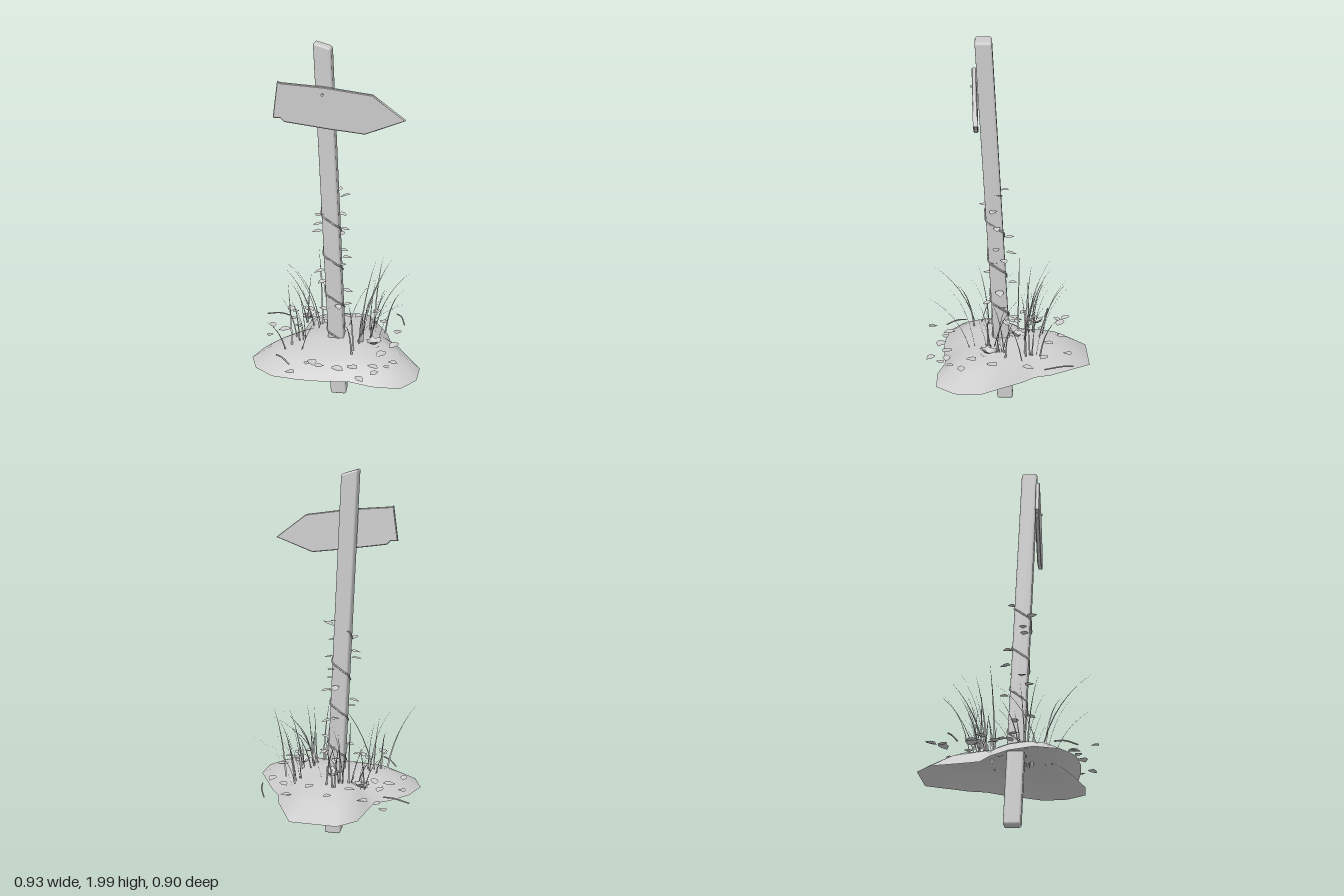
import * as THREE from 'three';
import { RoundedBoxGeometry } from 'three/addons/geometries/RoundedBoxGeometry.js';

const grey = new THREE.MeshStandardMaterial({ color: 0xcccccc, side: THREE.DoubleSide });
grey.name = 'plain grey';

let seed = 7;
const rand = (a = 0, b = 1) => {
  seed = (seed * 16807) % 2147483647;
  return a + (b - a) * seed / 2147483647;
};

// centre line of the leaning post
const postX = y => 0.002 - 0.033 * y;
const postZ = y => 0.005 + 0.055 * y;

function add(parent, name, geometry) {
  const mesh = new THREE.Mesh(geometry, grey);
  mesh.name = name;
  parent.add(mesh);
  return mesh;
}

function group(parent, name) {
  const g = new THREE.Group();
  g.name = name;
  parent.add(g);
  return g;
}

function surface(points, index) {
  const g = new THREE.BufferGeometry();
  g.setAttribute('position', new THREE.Float32BufferAttribute(points, 3));
  g.setIndex(index);
  g.computeVertexNormals();
  return g;
}

function makePost() {
  const g = new RoundedBoxGeometry(0.088, 1.99, 0.088, 2, 0.012);
  const p = g.attributes.position;
  for (let i = 0; i < p.count; i++) {
    const x = p.getX(i), y = p.getY(i) + 1.0;
    const top = y > 1 ? -0.3 * (x + 0.028) : 0;
    p.setXYZ(i, x + postX(y), y + top, p.getZ(i) + postZ(y));
  }
  return g;
}

// arrow board with worn edges
function makeBoard() {
  const s = new THREE.Shape([
    [-0.305, 1.63], [-0.28, 1.805], [-0.27, 1.8], [-0.05, 1.783], [0.185, 1.75],
    [0.345, 1.63], [0.15, 1.558], [-0.02, 1.578], [-0.25, 1.61], [-0.27, 1.63]
  ].map(([x, y]) => new THREE.Vector2(x, y)));
  const g = new THREE.ExtrudeGeometry(s, {
    depth: 0.016, bevelThickness: 0.004, bevelSize: 0.004, bevelSegments: 1
  });
  const p = g.attributes.position;
  for (let i = 0; i < p.count; i++) {
    p.setZ(i, p.getZ(i) + 0.151 - 0.02 * p.getX(i) + 0.03 * (p.getY(i) - 1.7));
  }
  g.computeVertexNormals();
  return g;
}

// hollow mound, lofted from shrinking copies of its outline
function makeMound() {
  const rim = [
    [-0.12, -0.455], [0.13, -0.455], [0.205, -0.32], [0.25, -0.24], [0.275, -0.15],
    [0.33, -0.08], [0.4, 0.04], [0.46, 0.14], [0.45, 0.27], [0.37, 0.37],
    [0.22, 0.37], [0.1, 0.335], [-0.04, 0.35], [-0.17, 0.35], [-0.315, 0.33],
    [-0.42, 0.255], [-0.465, 0.14], [-0.42, 0.02], [-0.33, -0.08], [-0.255, -0.13],
    [-0.24, -0.2], [-0.21, -0.37]
  ];
  const rings = [[1, 0.255], [0.88, 0.288], [0.75, 0.32], [0.6, 0.345], [0.4, 0.36], [0.2, 0.37], [0, 0.373]];
  const n = rim.length, pts = [], idx = [];
  rings.forEach(([s, y], r) => rim.forEach(([x, z], i) => {
    pts.push(x * s, y, z * s);
    if (!r) return;
    const a = (r - 1) * n + i, b = (r - 1) * n + (i + 1) % n;
    idx.push(a, a + n, b, b, a + n, b + n);
  }));
  return surface(pts, idx);
}

// leaf folded along its midrib, growing along +z
const leafShape = surface([
  0, 0, 0, 0.33, 0.1, 0.25, 0.34, 0.1, 0.6, 0, 0.06, 1, 0, 0.02, 0.5,
  -0.34, 0.1, 0.6, -0.33, 0.1, 0.25
], [0, 4, 1, 1, 4, 2, 2, 4, 3, 0, 6, 4, 6, 5, 4, 5, 3, 4]).toNonIndexed();
leafShape.computeVertexNormals();

function leaf(parent, x, y, z, yaw, pitch, size) {
  const m = add(parent, 'leaf', leafShape);
  m.position.set(x, y, z);
  m.rotation.set(pitch, yaw, 0, 'YXZ');
  m.scale.setScalar(size);
}

// tapered, arching ribbon
function blade(parent, x, z, tx, tz, h, width = 0.011) {
  const dx = tx - x, dz = tz - z, len = Math.hypot(dx, dz) || 1;
  const curve = new THREE.QuadraticBezierCurve3(
    new THREE.Vector3(x, 0.34, z),
    new THREE.Vector3(x + dx * 0.25, 0.34 + h * 0.7, z + dz * 0.25),
    new THREE.Vector3(tx, 0.34 + h, tz));
  const pts = [], idx = [], steps = 6;
  for (let i = 0; i <= steps; i++) {
    const t = i / steps, p = curve.getPoint(t), w = width * 0.5 * (1 - t * 0.95);
    const ox = -dz / len * w, oz = dx / len * w;
    pts.push(p.x + ox, p.y, p.z + oz, p.x - ox, p.y, p.z - oz);
    if (i) idx.push(2 * i - 2, 2 * i - 1, 2 * i, 2 * i - 1, 2 * i + 1, 2 * i);
  }
  add(parent, 'grassBlade', surface(pts, idx));
}

export function createModel() {
  const model = new THREE.Group();
  model.name = 'signpost';
  add(model, 'post', makePost());
  add(model, 'arrowBoard', makeBoard());
  const nail = add(model, 'nail', new THREE.CylinderGeometry(0.007, 0.007, 0.012, 8));
  nail.rotation.x = Math.PI / 2;
  nail.position.set(-0.06, 1.75, 0.176);
  add(model, 'mound', makeMound());

  // vine winding up the post
  const vine = group(model, 'vine');
  const vinePoint = t => {
    const y = 0.36 + 0.8 * t, a = 1 + t * Math.PI * 7;
    const r = 0.047 / Math.max(Math.abs(Math.cos(a)), Math.abs(Math.sin(a)));
    return new THREE.Vector3(postX(y) + Math.cos(a) * r, y, postZ(y) + Math.sin(a) * r);
  };
  const path = [];
  for (let i = 0; i <= 56; i++) path.push(vinePoint(i / 56));
  add(vine, 'vineStem', new THREE.TubeGeometry(new THREE.CatmullRomCurve3(path), 150, 0.0045, 5));
  [
    [0.01, 1.18, 0.04, 1.4], [0, 1.21, 0.03, 3], [0, 1.1, 0.06, 1.2], [-0.08, 1.1, 0.09, -0.3],
    [-0.075, 1.04, 0.07, -1.5], [-0.08, 1, 0.07, -1.2], [0.015, 1.01, 0.05, 1.6], [0, 0.95, 0.01, 2.8],
    [0.01, 0.89, 0.05, 1.4], [0.02, 0.83, 0.02, 1.9], [-0.01, 0.86, 0, 3.3], [0, 0.8, 0.06, 1.2],
    [-0.07, 0.77, 0.06, -1.4], [-0.06, 0.72, 0.08, -0.7], [0.02, 0.65, 0.04, 1.7], [-0.02, 0.68, -0.01, 2.9],
    [0, 0.58, 0.08, 0.4], [0.025, 0.55, 0.02, 1.5], [-0.06, 0.52, 0.03, -1.8], [0.03, 0.48, 0.01, 2],
    [-0.02, 0.45, -0.02, 3.2], [-0.05, 0.42, 0.01, -2.2]
  ].forEach(([x, y, z, yaw]) => leaf(vine, x, y, z, yaw, rand(-0.3, 0.35), rand(0.045, 0.065)));

  // leaves lying around the mound
  const litter = group(model, 'fallenLeaves');
  [
    [-0.34, -0.355], [-0.3, -0.3], [-0.225, -0.315], [-0.035, -0.305], [0.18, -0.33], [0.08, -0.23],
    [0.23, -0.2], [-0.29, -0.165], [-0.4, -0.11], [-0.32, -0.05], [-0.24, -0.07], [-0.385, 0.04],
    [0.32, -0.11], [0.31, 0.08], [0.32, 0.24], [0.29, 0.3], [0.22, 0.32], [0.23, 0.355],
    [0.16, 0.41], [0.11, 0.32], [0.04, 0.36], [-0.06, 0.34], [-0.1, 0.32], [-0.13, 0.31],
    [-0.2, 0.42], [0.25, 0.19], [-0.13, -0.2], [0.21, 0.12]
  ].forEach(([x, z]) => {
    const yaw = rand(0, 6.28), size = rand(0.045, 0.075);
    const y = 0.372 - 0.2 * (x * x + z * z) + rand(-0.01, 0.005);
    leaf(litter, x - Math.sin(yaw) * size / 2, y, z - Math.cos(yaw) * size / 2, yaw, rand(-0.2, 0.2), size);
  });

  // low leafy rosettes
  const rosettes = group(model, 'rosettes');
  [[-0.19, -0.18], [0.2, 0.1], [0, -0.06]].forEach(([x, z]) => {
    for (let i = 0; i < 9; i++) leaf(rosettes, x, 0.36, z, i * 2.4, rand(-0.9, -0.2), rand(0.045, 0.065));
  });

  // small twigs
  [
    [-0.46, -0.255, -0.38, -0.245, -0.32, -0.23],
    [0.295, -0.35, 0.325, -0.29, 0.35, -0.195],
    [-0.31, 0.23, -0.27, 0.28, -0.22, 0.34]
  ].forEach(([a, b, c, d, e, f]) => add(model, 'twig', new THREE.TubeGeometry(
    new THREE.CatmullRomCurve3([
      new THREE.Vector3(a, 0.33, b), new THREE.Vector3(c, 0.345, d), new THREE.Vector3(e, 0.34, f)
    ]), 8, 0.004, 5)));

  // arching grass: long placed blades, then tufts of shorter ones
  const grass = group(model, 'grass');
  [
    [-0.16, -0.12, -0.35, -0.26], [0.19, -0.18, 0.38, -0.275], [-0.24, 0.14, -0.295, -0.05],
    [-0.27, 0.18, -0.39, 0.42], [0.095, 0.2, 0.08, 0.42], [0.1, 0.1, 0.38, 0.1],
    [-0.18, 0.18, 0.08, 0.275], [-0.11, -0.12, -0.15, -0.25], [-0.05, -0.2, -0.11, -0.33],
    [-0.04, -0.2, -0.03, -0.34], [0, -0.18, -0.09, -0.34], [0.18, -0.16, 0.215, -0.28],
    [0.04, -0.1, 0.2, -0.14], [0.13, 0.02, 0.24, -0.16], [0.12, 0.07, 0.28, -0.15],
    [0.25, -0.08, 0.36, 0.07], [0.12, 0.05, 0.18, -0.2], [-0.12, -0.07, -0.3, -0.08],
    [-0.12, -0.11, -0.28, -0.15], [0.1, 0.17, 0.09, 0.3]
  ].forEach(b => blade(grass, ...b, rand(0.28, 0.43)));
  [[-0.18, -0.14], [-0.08, -0.15], [0.17, -0.12], [0.2, 0.03], [0.12, 0.1], [-0.2, 0.08]].forEach(([x, z]) => {
    for (let i = 0; i < 5; i++) {
      const a = Math.atan2(z, x) + rand(-1.2, 1.2), r = rand(0.04, 0.13);
      const bx = x + rand(-0.03, 0.03), bz = z + rand(-0.03, 0.03);
      blade(grass, bx, bz, bx + Math.cos(a) * r, bz + Math.sin(a) * r, rand(0.15, 0.36), 0.009);
    }
  });
  return model;
}
